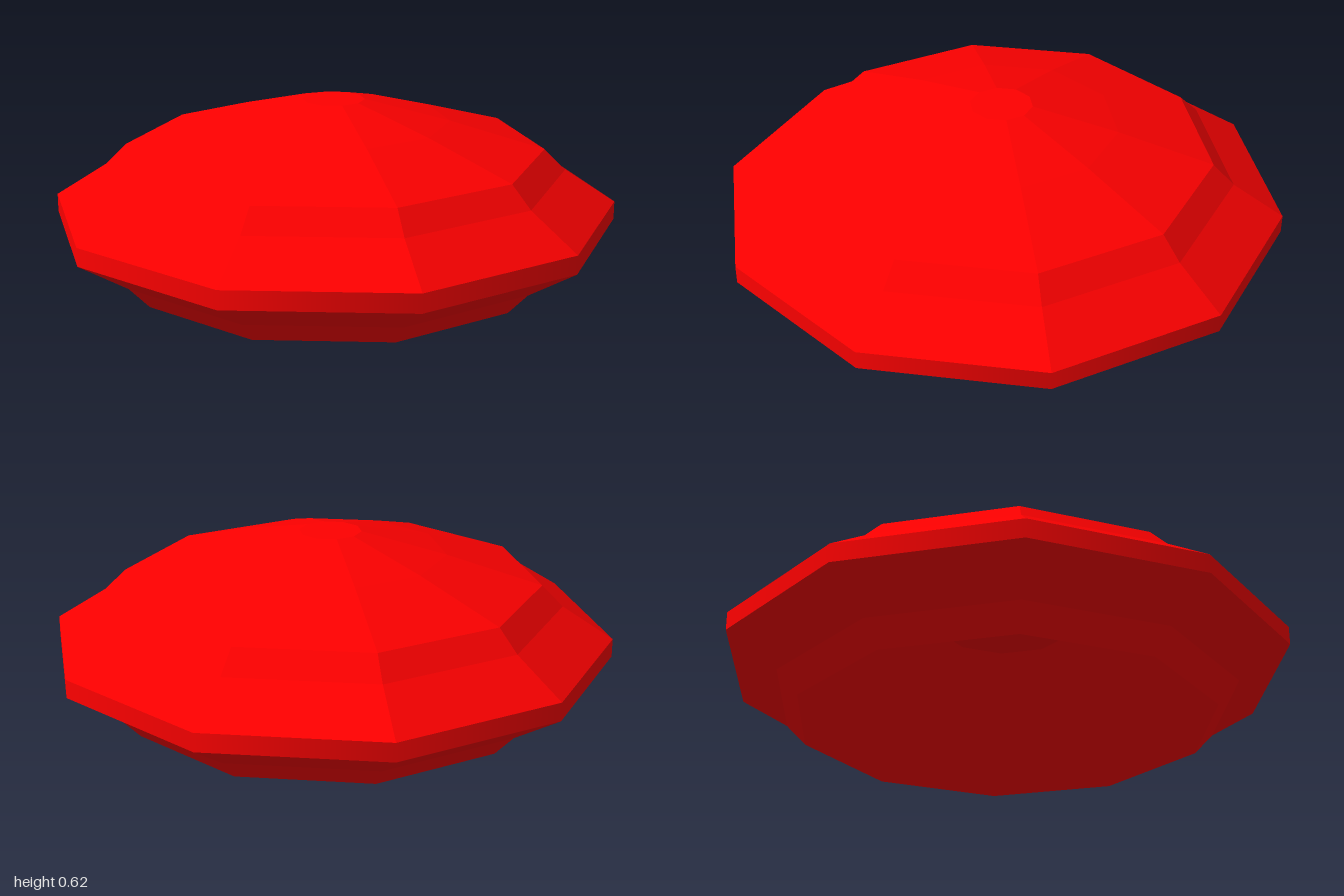
import * as THREE from 'three';

const SIDES = 10;

// Ten-sided turned surface with a corner on the +x axis; profile runs anticlockwise (under -> out -> top)
function turned(name, profile, flatShading) {
  const points = profile.map(([r, y]) => new THREE.Vector2(r, y));
  const geometry = new THREE.LatheGeometry(points, SIDES, Math.PI / 2);
  const material = new THREE.MeshStandardMaterial({ color: 0xff0000, flatShading });
  const mesh = new THREE.Mesh(geometry, material);
  mesh.name = name;
  return mesh;
}

export function createModel() {
  const group = new THREE.Group();
  group.name = 'facetedDisc';

  // Hollow underside: flat ceiling flaring down to the foot
  group.add(turned('hollow', [[0, 0.39], [0.25, 0.39], [0.51, 0.19], [0.745, 0]], true));

  // Lower flare from the foot out to the rim
  group.add(turned('lowerFlare', [[0.745, 0], [0.82, 0.08], [1, 0.195]], true));

  // Upright rim band, softly shaded around
  group.add(turned('rim', [[1, 0.195], [1, 0.26]], false));

  // Upper flare, step and shallow domed top with a small flat cap
  group.add(turned('dome', [
    [1, 0.26], [0.82, 0.375], [0.745, 0.45], [0.41, 0.55], [0.11, 0.625], [0, 0.625],
  ], true));

  return group;
}
